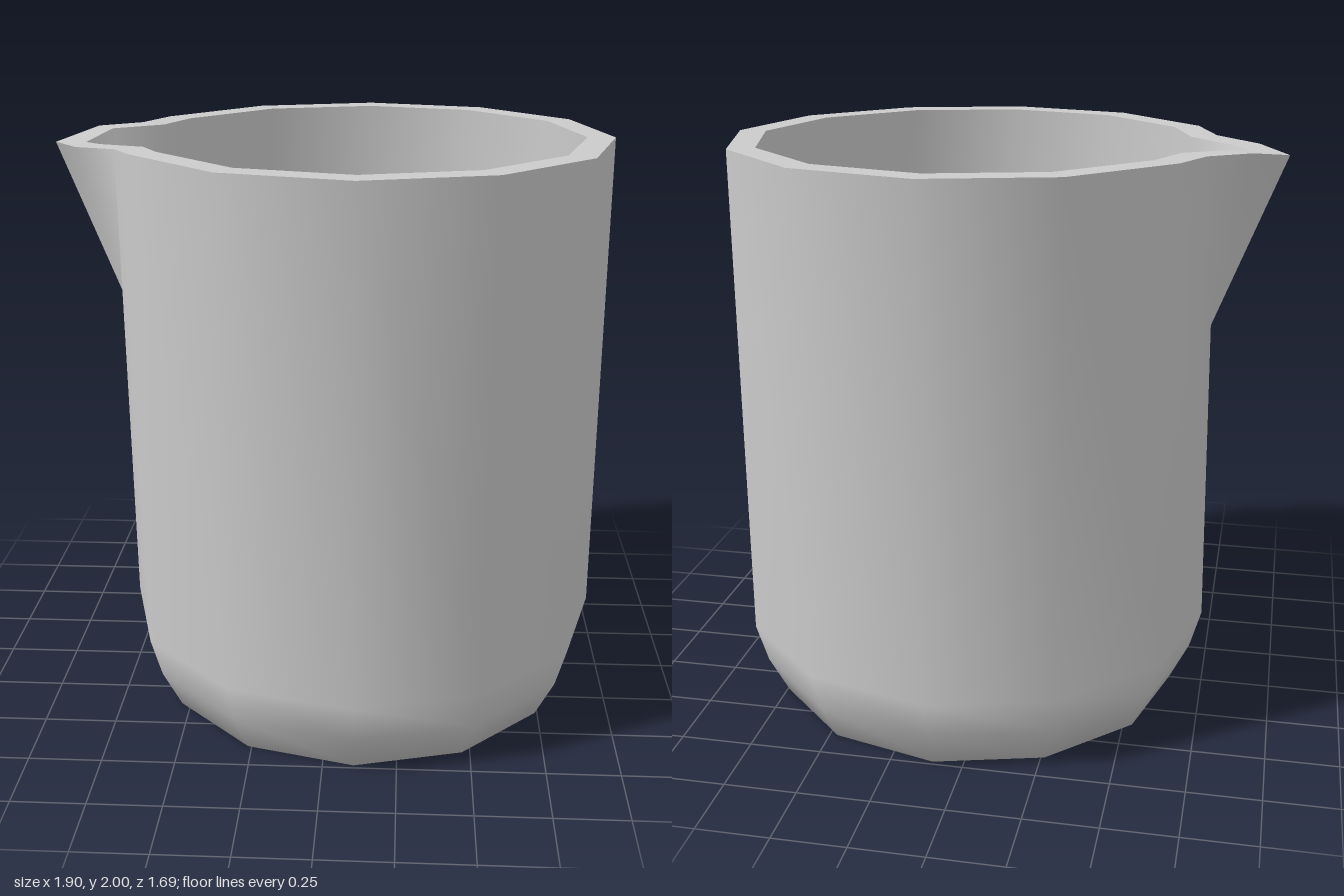
import * as THREE from 'three';

const SIDES = 12, CENTER_X = 0.105, SPOUT = 6; // the spout grows from side 6 (-x)

// Each wall: profile [radius, y] from the base up to the rim, the rim points of
// the spout (front to back) and the point where the spout begins.
const OUTER = {
  profile: [[0.735, 0], [0.805, 0.14], [0.845, 0.28], [0.845, 2]],
  lip: [[-0.7, 1.99, 0.27], [-0.85, 1.98, 0.17], [-0.955, 1.97, 0], [-0.84, 2, -0.18], [-0.7, 2, -0.27]],
  apex: [-0.72, 1.37, 0],
};
const INNER = {
  profile: [[0.676, 0.095], [0.717, 0.175], [0.75, 0.29], [0.75, 2]],
  lip: [[-0.615, 1.99, 0.215], [-0.78, 1.98, 0.105], [-0.85, 1.97, 0], [-0.78, 2, -0.115], [-0.615, 2, -0.215]],
  apex: [-0.627, 1.42, 0],
};

function ringPoint([r, y], i) {
  const a = (i / SIDES) * Math.PI * 2;
  return [CENTER_X + r * Math.cos(a), y, r * Math.sin(a)];
}

function toGeometry(points, faces, flip = false) {
  const index = [];
  for (const f of faces) {
    for (let k = 1; k < f.length - 1; k++) {
      index.push(...(flip ? [f[0], f[k + 1], f[k]] : [f[0], f[k], f[k + 1]]));
    }
  }
  const g = new THREE.BufferGeometry();
  g.setAttribute('position', new THREE.Float32BufferAttribute(points.flat(), 3));
  g.setIndex(index);
  g.computeVertexNormals();
  return g;
}

// Rounded base, straight wall and pouring spout as one smooth skin
function wallGeometry({ profile, lip, apex }, flip) {
  const points = [], faces = [];
  for (const p of profile) for (let i = 0; i < SIDES; i++) points.push(ringPoint(p, i));
  const id = (row, i) => row * SIDES + (i % SIDES);
  const top = profile.length - 1;

  for (let row = 0; row < top; row++) {
    for (let i = 0; i < SIDES; i++) {
      if (row === top - 1 && (i === SPOUT - 1 || i === SPOUT)) continue; // spout opening
      faces.push([id(row, i), id(row + 1, i), id(row + 1, i + 1), id(row, i + 1)]);
    }
  }

  // Floor
  const center = points.push([CENTER_X, profile[0][1], 0]) - 1;
  for (let i = 0; i < SIDES; i++) faces.push([center, id(0, i), id(0, i + 1)]);

  // Spout: a fan from its lowest point, joined to the wall on both sides
  const start = points.push(apex) - 1;
  const l = lip.map((p) => points.push(p) - 1);
  const foot = id(top - 1, SPOUT);
  for (let k = 0; k < 4; k++) faces.push([start, l[k], l[k + 1]]);
  faces.push([foot, l[0], start], [foot, start, l[4]]);
  faces.push([id(top - 1, SPOUT - 1), id(top, SPOUT - 1), l[0], foot]);
  faces.push([foot, l[4], id(top, SPOUT + 1), id(top - 1, SPOUT + 1)]);
  return toGeometry(points, faces, flip);
}

// Outline of the rim, with the spout replacing one corner
function rimLoop({ profile, lip }) {
  const loop = [];
  for (let i = 0; i < SIDES; i++) {
    if (i === SPOUT) loop.push(...lip);
    else loop.push(ringPoint(profile[profile.length - 1], i));
  }
  return loop;
}

function rimGeometry() {
  const outer = rimLoop(OUTER), inner = rimLoop(INNER), n = outer.length;
  const faces = outer.map((_, i) => [i, n + i, n + ((i + 1) % n), (i + 1) % n]);
  return toGeometry([...outer, ...inner], faces);
}

export function createModel() {
  const group = new THREE.Group();
  group.name = 'beaker';
  const material = new THREE.MeshStandardMaterial({ color: 0xcccccc });
  const add = (name, geometry) => {
    const mesh = new THREE.Mesh(geometry, material);
    mesh.name = name;
    group.add(mesh);
  };
  add('outerWall', wallGeometry(OUTER, false));
  add('innerWall', wallGeometry(INNER, true));
  add('rim', rimGeometry());
  return group;
}
